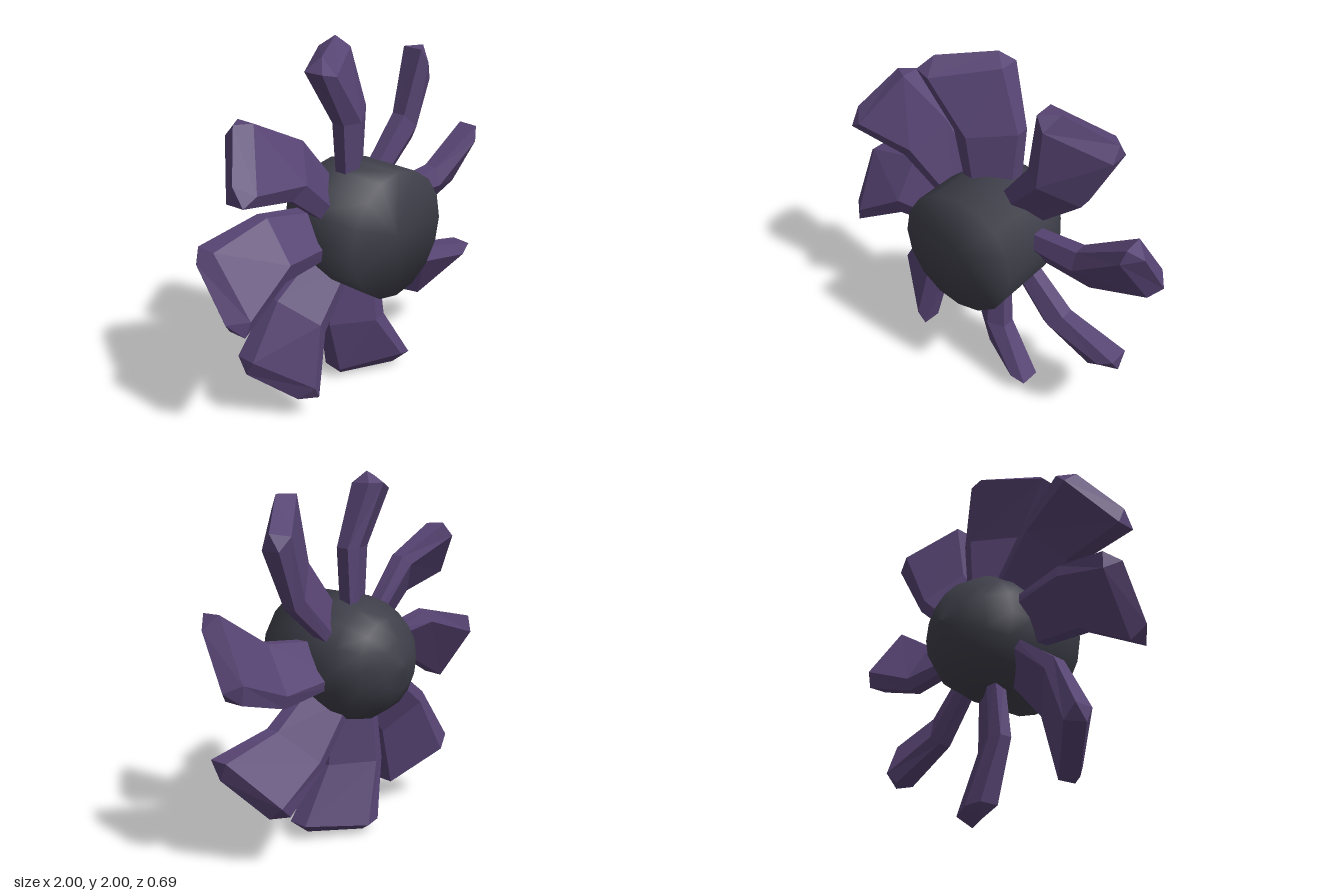
import * as THREE from 'three';

// Six-sided blade sections as [x, y, z], for the blade pointing up:
// front left, front right, right edge, back right, back left, left edge.
const SECTIONS = [
  // root, inside the hub
  [[-0.06, 0.22, 0.12], [0.09, 0.22, 0.01], [0.1, 0.22, -0.07], [0.05, 0.22, -0.08], [-0.13, 0.22, 0.03], [-0.13, 0.22, 0.1]],
  // knee
  [[-0.08, 0.59, 0.16], [0.13, 0.61, 0.0], [0.13, 0.61, -0.075], [0.06, 0.61, -0.095], [-0.18, 0.59, 0.05], [-0.18, 0.59, 0.13]],
  // shoulder below the tip
  [[-0.29, 0.87, 0.19], [0.02, 0.94, -0.01], [0.02, 0.94, -0.125], [-0.08, 0.94, -0.14], [-0.38, 0.89, 0.06], [-0.375, 0.89, 0.175]],
];
// ridge that closes the tip, left end then right end
const RIDGE = [[-0.31, 0.96, 0.11], [-0.04, 1.0, -0.06]];

function bladeGeometry() {
  const n = 6;
  const index = [];
  for (let i = 1; i < n - 1; i++) index.push(0, i + 1, i); // root cap
  for (let s = 0; s < SECTIONS.length - 1; s++) {
    for (let i = 0; i < n; i++) {
      const a = s * n + i, b = s * n + (i + 1) % n;
      index.push(a, b, b + n, a, b + n, a + n);
    }
  }
  // tip: a sloping quad on each face and two triangles at each end
  const t = (SECTIONS.length - 1) * n;
  const tip = [0, 1, 7, 0, 7, 6, 1, 2, 7, 2, 3, 7, 3, 4, 6, 3, 6, 7, 4, 5, 6, 5, 0, 6];
  for (const i of tip) index.push(t + i);

  const geometry = new THREE.BufferGeometry();
  geometry.setAttribute('position', new THREE.Float32BufferAttribute([...SECTIONS.flat(), ...RIDGE].flat(), 3));
  geometry.setIndex(index);
  const flat = geometry.toNonIndexed();
  flat.computeVertexNormals();
  return flat;
}

function hubGeometry() {
  const R = 0.35;
  const profile = [];
  // back dome
  for (let i = 0; i <= 4; i++) {
    const a = (i / 4) * Math.PI / 2;
    profile.push(new THREE.Vector2(R * Math.sin(a), -R * Math.cos(a)));
  }
  // straight barrel and front face
  profile.push(new THREE.Vector2(R, 0.345), new THREE.Vector2(0, 0.345));
  return new THREE.LatheGeometry(profile, 16).rotateX(Math.PI / 2);
}

export function createModel() {
  const model = new THREE.Group();
  model.name = 'propeller';
  const hubMaterial = new THREE.MeshStandardMaterial({ color: 0x3e3e49 });
  const bladeMaterial = new THREE.MeshStandardMaterial({ color: 0x574473, flatShading: true });

  const hub = new THREE.Mesh(hubGeometry(), hubMaterial);
  hub.name = 'hub';
  hub.position.y = 1;
  model.add(hub);

  // eight slightly unevenly spaced blades, in degrees from upright
  const geometry = bladeGeometry();
  [0, -45, -91, -136.5, -183, -229, -275, -315].forEach((angle, i) => {
    const blade = new THREE.Mesh(geometry, bladeMaterial);
    blade.name = `blade${i + 1}`;
    blade.position.y = 1;
    blade.rotation.z = THREE.MathUtils.degToRad(angle);
    model.add(blade);
  });
  return model;
}
